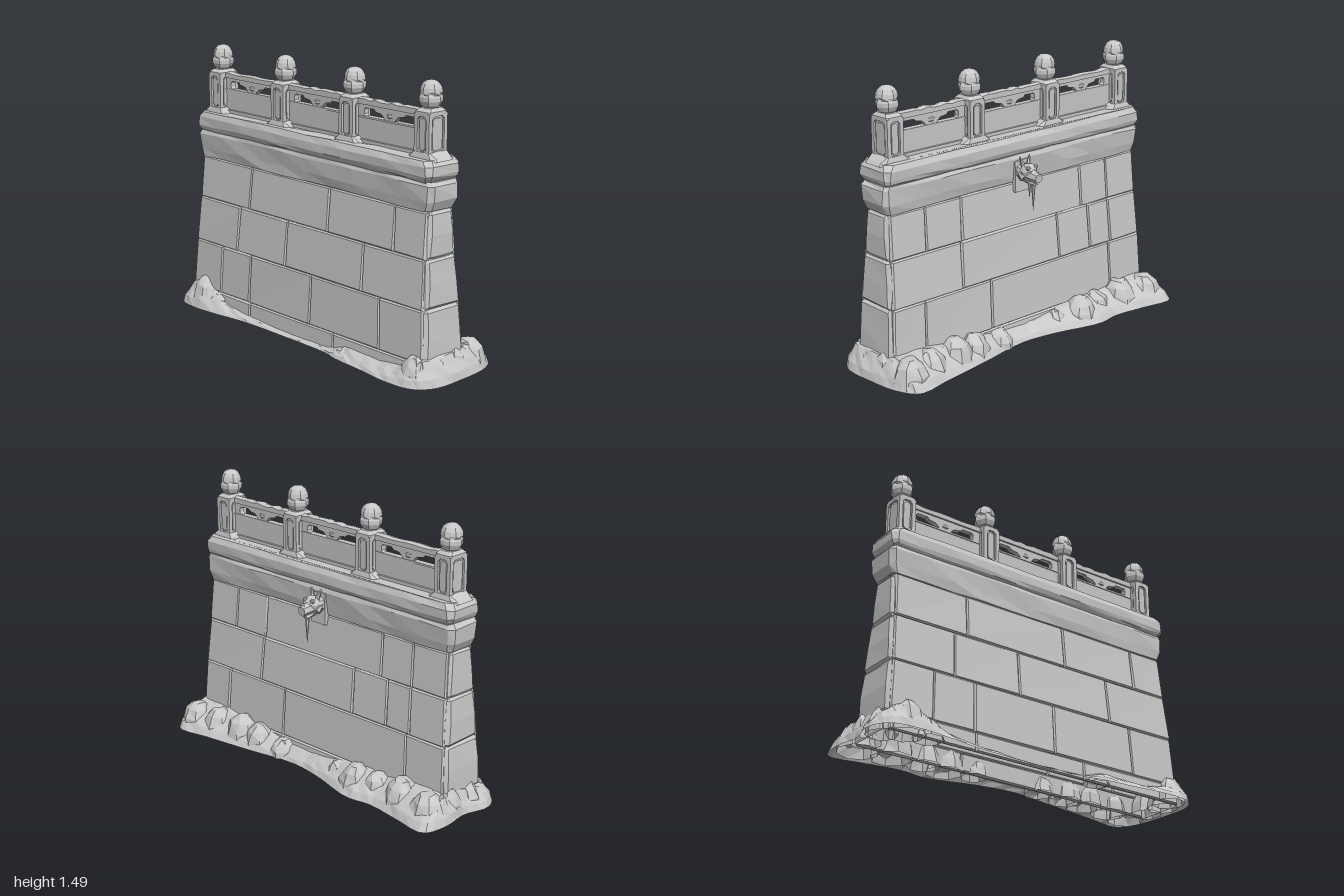
import * as THREE from 'three';

const stone = new THREE.MeshStandardMaterial({ color: 0xc8c8c8, flatShading: true, side: THREE.DoubleSide });
stone.name = 'pale stone';

// repeatable noise in -1..1, taken from a position
const noise = (x, y, z) => {
  const s = Math.sin(Math.round(x * 500) * 12.99 + Math.round(y * 500) * 78.23 + Math.round(z * 500) * 37.72) * 43758.5453;
  return (s - Math.floor(s)) * 2 - 1;
};

function moveVertices(geo, rule) {
  const p = geo.attributes.position, v = new THREE.Vector3();
  for (let i = 0; i < p.count; i++) {
    v.fromBufferAttribute(p, i);
    rule(v);
    p.setXYZ(i, v.x, v.y, v.z);
  }
  geo.computeVertexNormals();
  return geo;
}

const roughen = (geo, amp) => moveVertices(geo, (v) => {
  if (v.y < 0.002) return;
  const { x, y, z } = v;
  v.set(x + amp * noise(x, y, z), y + amp * noise(y, z, x), z + amp * noise(z, x, y));
});

function add(parent, name, geo, x = 0, y = 0, z = 0) {
  const mesh = new THREE.Mesh(geo, stone);
  mesh.name = name;
  mesh.position.set(x, y, z);
  parent.add(mesh);
  return mesh;
}

// skin over stacked closed rings, with optional flat ends
function loft(rings, capped = true) {
  const n = rings[0].length, pos = [], idx = [];
  rings.flat().forEach((p) => pos.push(p.x, p.y, p.z));
  for (let j = 0; j < rings.length - 1; j++) {
    for (let i = 0; i < n; i++) {
      const a = j * n + i, b = j * n + (i + 1) % n;
      idx.push(a, b + n, b, a, a + n, b + n);
    }
  }
  if (capped) {
    const t = (rings.length - 1) * n;
    for (let i = 1; i < n - 1; i++) idx.push(0, i, i + 1, t, t + i + 1, t + i);
  }
  const geo = new THREE.BufferGeometry();
  geo.setAttribute('position', new THREE.Float32BufferAttribute(pos, 3));
  geo.setIndex(idx);
  geo.computeVertexNormals();
  return geo;
}

// chamfered rectangle at height y
function ring(y, hx, z0, z1, c, n = 1) {
  const pts = [new THREE.Vector3(hx, y, z0 + c), new THREE.Vector3(hx, y, z1 - c)];
  for (let i = 0; i <= n; i++) pts.push(new THREE.Vector3((hx - c) * (1 - 2 * i / n), y, z1));
  pts.push(new THREE.Vector3(-hx, y, z1 - c), new THREE.Vector3(-hx, y, z0 + c));
  for (let i = 0; i <= n; i++) pts.push(new THREE.Vector3((hx - c) * (2 * i / n - 1), y, z0));
  return pts;
}

const polygon = (pts) => new THREE.Shape(pts.map(([x, y]) => new THREE.Vector2(x, y)));
const rect = (x0, x1, y0, y1) => polygon([[x0, y0], [x1, y0], [x1, y1], [x0, y1]]);
const octagon = (w, y0, y1, c) => polygon([[-w + c, y0], [w - c, y0], [w, y0 + c], [w, y1 - c], [w - c, y1], [-w + c, y1], [-w, y1 - c], [-w, y0 + c]]);
const slab = (shape, depth) => new THREE.ExtrudeGeometry(shape, { depth, bevelEnabled: false });

// wall section by height: y, half width, front z, back z
const section = [[0, 0.925, 0.2, -0.108], [0.1, 0.92, 0.196, -0.104], [0.37, 0.905, 0.182, -0.088],
  [0.62, 0.89, 0.16, -0.066], [0.855, 0.882, 0.139, -0.048], [1.1, 0.88, 0.137, -0.047]];
function wallAt(y) {
  let i = 0;
  while (i < section.length - 2 && y > section[i + 1][0]) i++;
  const a = section[i], b = section[i + 1], t = (y - a[0]) / (b[0] - a[0]);
  return a.map((v, k) => v + (b[k] - v) * t);
}

function buildWall(parent) {
  const wall = new THREE.Group();
  wall.name = 'blockWall';
  parent.add(wall);
  // hollow core, open below, whose ends show the courses
  const g = 0.011, coreRings = [];
  for (let c = 0; c < section.length - 1; c++) {
    const y0 = section[c][0], y1 = section[c + 1][0];
    for (const [y, inset] of [[y0, c ? 0.012 : 0], [y0 + 0.014, 0], [(y0 + y1) / 2, -0.002], [y1 - 0.014, 0], [y1 - 0.002, 0.012]]) {
      const [, w, f, b] = wallAt(y);
      coreRings.push(ring(y, w - inset, b + g, f - g, 0.018));
    }
  }
  add(wall, 'wallCore', roughen(loft(coreRings, false), 0.003));
  // vertical joints of each course, bottom to top
  const joints = {
    front: [[-0.4, 0.26], [-0.65, -0.41, 0.08, 0.59], [-0.53, -0.13, 0.46], [-0.45, 0.185, 0.67]],
    back: [[-0.3, 0.4], [-0.64, 0.24, 0.68], [-0.66, -0.5, -0.26, 0.43], [-0.66, -0.45, 0.42, 0.66]],
  };
  for (const side of ['front', 'back']) {
    joints[side].forEach((cuts, c) => {
      const xs = [-0.886, ...cuts, 0.886], y0 = section[c][0], y1 = section[c + 1][0];
      for (let i = 0; i < xs.length - 1; i++) {
        const s = side === 'front' ? 1 : -1;
        const [x0, x1] = s > 0 ? [xs[i], xs[i + 1]] : [-xs[i + 1], -xs[i]];
        const geo = new THREE.ExtrudeGeometry(rect(x0 + 0.001, x1 - 0.001, y0 + 0.001, y1 - 0.001), {
          depth: 0.01, bevelSize: 0.006, bevelOffset: -0.006, bevelThickness: 0.009, bevelSegments: 1 });
        if (s < 0) geo.rotateY(Math.PI);
        // lean each block to the batter of the wall
        moveVertices(geo, (v) => {
          const [, w, f, b] = wallAt(v.y);
          v.x *= w / 0.9;
          v.z += s > 0 ? f - 0.019 : b + 0.019;
        });
        add(wall, side + 'Block', roughen(geo, 0.002));
      }
    });
  }
  // moulded band and capstone
  add(wall, 'frieze', roughen(loft([ring(0.857, 0.88, -0.048, 0.139, 0.02, 10), ring(0.905, 0.902, -0.058, 0.145, 0.025, 10),
    ring(0.985, 0.905, -0.063, 0.15, 0.025, 10), ring(1.005, 0.89, -0.055, 0.142, 0.02, 10)]), 0.004));
  add(wall, 'capstone', roughen(loft([ring(1.0, 0.88, -0.05, 0.14, 0.02, 12), ring(1.016, 0.892, -0.066, 0.156, 0.02, 12),
    ring(1.035, 0.902, -0.073, 0.163, 0.025, 12), ring(1.08, 0.902, -0.073, 0.163, 0.03, 12),
    ring(1.11, 0.88, -0.058, 0.15, 0.03, 12)]), 0.003));
}

const railZ = 0.045, postX = [-0.797, -0.266, 0.266, 0.797];

function buildPost(parent, x) {
  const post = new THREE.Group();
  post.name = 'post';
  post.position.set(x, 0, railZ);
  parent.add(post);
  add(post, 'postCore', loft([ring(1.1, 0.04, -0.052, 0.052, 0.004), ring(1.33, 0.04, -0.052, 0.052, 0.004)]));
  add(post, 'postCap', loft([ring(1.318, 0.05, -0.064, 0.064, 0.006), ring(1.334, 0.05, -0.064, 0.064, 0.01), ring(1.35, 0.036, -0.046, 0.046, 0.01)]));
  add(post, 'postFoot', loft([ring(1.1, 0.1, -0.075, 0.075, 0.02), ring(1.117, 0.085, -0.072, 0.072, 0.02), ring(1.138, 0.052, -0.066, 0.066, 0.005)]));
  // four framed faces, each with a raised inner panel
  for (let k = 0; k < 4; k++) {
    const w = k % 2 ? 0.064 : 0.05, out = k % 2 ? 0.05 : 0.064;
    const face = new THREE.Group();
    face.name = 'postFace';
    face.rotation.y = k * Math.PI / 2;
    const frame = rect(-w, w, 1.11, 1.325);
    frame.holes.push(octagon(w - 0.022, 1.135, 1.312, 0.014));
    add(face, 'postFrame', slab(frame, 0.012), 0, 0, out - 0.012);
    add(face, 'postPanel', slab(octagon(w - 0.03, 1.145, 1.302, 0.012), 0.008), 0, 0, out - 0.013);
    post.add(face);
  }
  // bud finial with scalloped petals
  const profile = [[0.036, 1.34], [0.034, 1.35], [0.048, 1.36], [0.058, 1.382], [0.058, 1.402], [0.053, 1.412],
    [0.056, 1.425], [0.053, 1.445], [0.043, 1.465], [0.026, 1.479], [0, 1.485]].map(([r, y]) => new THREE.Vector2(r, y));
  const bud = new THREE.LatheGeometry(profile, 12);
  add(post, 'finial', moveVertices(bud, (v) => {
    const petal = 1 + 0.045 * Math.cos(6 * Math.atan2(v.z, v.x)) * (v.y < 1.42 ? 1 : -0.6);
    v.x *= petal;
    v.z *= petal;
  }));
}

function buildBalustrade(parent) {
  const rail = new THREE.Group();
  rail.name = 'balustrade';
  parent.add(rail);
  postX.forEach((x) => buildPost(rail, x));
  // weathered handrail
  const bar = new THREE.BoxGeometry(1.68, 0.034, 0.05, 42, 1, 2);
  add(rail, 'handrail', moveVertices(bar, (v) => {
    if (v.y > 0) v.y += 0.005 * noise(v.x, 1, 2) - Math.abs(v.z) * 0.25;
  }), 0, 1.322, railZ);
  for (const x of [-0.5315, 0, 0.5315]) {
    // pierced screen with a bracket between its two openings
    const screen = rect(-0.225, 0.225, 1.1, 1.315);
    for (const s of [-1, 1]) {
      screen.holes.push(polygon([[0.035, 1.245], [0.172, 1.245], [0.18, 1.256], [0.18, 1.276], [0.172, 1.288], [0.11, 1.288],
        [0.1, 1.276], [0.06, 1.27], [0.045, 1.258]].map(([a, b]) => [a * s, b])));
    }
    add(rail, 'screen', slab(screen, 0.03), x, 0, railZ - 0.015);
    add(rail, 'screenSill', new THREE.BoxGeometry(0.44, 0.009, 0.04), x, 1.24, railZ);
    add(rail, 'bottomRail', new THREE.BoxGeometry(0.44, 0.022, 0.056), x, 1.117, railZ);
    add(rail, 'bracketBoss', new THREE.SphereGeometry(0.022, 8, 5).scale(1.5, 0.9, 1), x, 1.268, railZ);
  }
}

function buildSpout(parent) {
  const spout = new THREE.Group();
  spout.name = 'beastSpout';
  parent.add(spout);
  add(spout, 'backPlate', roughen(new THREE.BoxGeometry(0.1, 0.17, 0.03), 0.004), 0, 0.89, -0.056);
  const limb = (name, r1, r2, len, x, y, z, tilt) => {
    const m = add(spout, name, roughen(new THREE.CylinderGeometry(r1, r2, len, 7, 2), 0.003), x, y, z);
    m.rotation.x = tilt;
    return m;
  };
  limb('neck', 0.042, 0.05, 0.08, 0, 0.91, -0.09, -1.75);
  add(spout, 'head', roughen(new THREE.IcosahedronGeometry(0.046, 1).scale(1, 0.9, 1), 0.004), 0, 0.925, -0.115);
  limb('upperJaw', 0.026, 0.04, 0.075, 0, 0.905, -0.155, -1.75);
  limb('lowerJaw', 0.016, 0.03, 0.07, 0, 0.875, -0.135, -1.95);
  add(spout, 'nose', new THREE.IcosahedronGeometry(0.018, 0), 0, 0.914, -0.178);
  for (const s of [-1, 1]) {
    limb('horn', 0.004, 0.017, 0.07, s * 0.024, 0.968, -0.092, 0.25).rotation.z = -s * 0.3;
    add(spout, 'brow', new THREE.IcosahedronGeometry(0.014, 0), s * 0.026, 0.947, -0.14);
    limb('cheekFin', 0.004, 0.018, 0.05, s * 0.042, 0.905, -0.1, 0.9);
  }
  limb('longIcicle', 0.014, 0.001, 0.16, 0, 0.797, -0.152, 0);
  limb('shortIcicle', 0.011, 0.001, 0.09, 0.016, 0.835, -0.14, 0);
}

function buildGround(parent) {
  const base = new THREE.Group();
  base.name = 'rubbleBase';
  parent.add(base);
  // outline with the height of the drift against the wall: x, height, z
  const outline = [[0.99, 0.14, 0], [0.985, 0.13, 0.18], [0.92, 0.13, 0.27], [0.75, 0.07, 0.295], [0.56, 0.05, 0.275], [0.36, 0.055, 0.26],
    [0.24, 0.02, 0.235], [0, 0.014, 0.23], [-0.4, 0.03, 0.235], [-0.62, 0.06, 0.265], [-0.8, 0.15, 0.28], [-0.94, 0.11, 0.255],
    [-0.998, 0.1, 0.15], [-0.965, 0.13, 0], [-0.985, 0.13, -0.16], [-0.95, 0.13, -0.295], [-0.75, 0.14, -0.275], [-0.55, 0.11, -0.25],
    [-0.4, 0.12, -0.27], [-0.12, 0.08, -0.2], [0.1, 0.07, -0.175], [0.4, 0.1, -0.225], [0.7, 0.13, -0.27], [0.9, 0.14, -0.298], [0.965, 0.13, -0.2]];
  const pts = new THREE.CatmullRomCurve3(outline.map((p) => new THREE.Vector3(...p)), true).getPoints(84).slice(0, -1);
  const rings = [[0, 0], [0.14, 0.32], [0.4, 0.6], [0.7, 0.92], [1, 1]].map(([t, f]) => pts.map((p) => new THREE.Vector3(
    THREE.MathUtils.lerp(p.x, THREE.MathUtils.clamp(p.x, -0.9, 0.9), t), p.y * f,
    THREE.MathUtils.lerp(p.z, THREE.MathUtils.clamp(p.z, -0.09, 0.185), t))));
  add(base, 'drift', roughen(loft(rings, false), 0.005));
  // half-buried boulders: x, z, radius, height
  const boulders = [[-0.86, -0.16, 0.11, 0.15], [-0.68, -0.14, 0.11, 0.16], [-0.5, -0.13, 0.09, 0.13], [-0.36, -0.15, 0.1, 0.14],
    [-0.2, -0.12, 0.07, 0.1], [0.22, -0.12, 0.08, 0.1], [0.4, -0.13, 0.09, 0.13], [0.54, -0.14, 0.1, 0.15], [0.72, -0.15, 0.1, 0.14],
    [0.87, -0.18, 0.1, 0.15], [0.89, -0.03, 0.085, 0.15], [0.89, 0.1, 0.085, 0.14], [0.86, 0.18, 0.09, 0.14],
    [-0.8, 0.17, 0.1, 0.175], [-0.89, 0.1, 0.08, 0.14], [-0.89, -0.04, 0.08, 0.15], [-0.68, 0.18, 0.08, 0.1], [0.36, 0.18, 0.07, 0.055]];
  boulders.forEach(([x, z, r, h], i) => {
    const dome = new THREE.SphereGeometry(1, 8, 4, 0, Math.PI * 2, 0, Math.PI / 2).rotateY(i * 1.3).scale(r, h, r);
    add(base, 'boulder', roughen(dome.translate(x, 0, z), 0.006));
  });
}

export function createModel() {
  const model = new THREE.Group();
  model.name = 'stoneParapetWall';
  buildWall(model);
  buildBalustrade(model);
  buildSpout(model);
  buildGround(model);
  return model;
}
